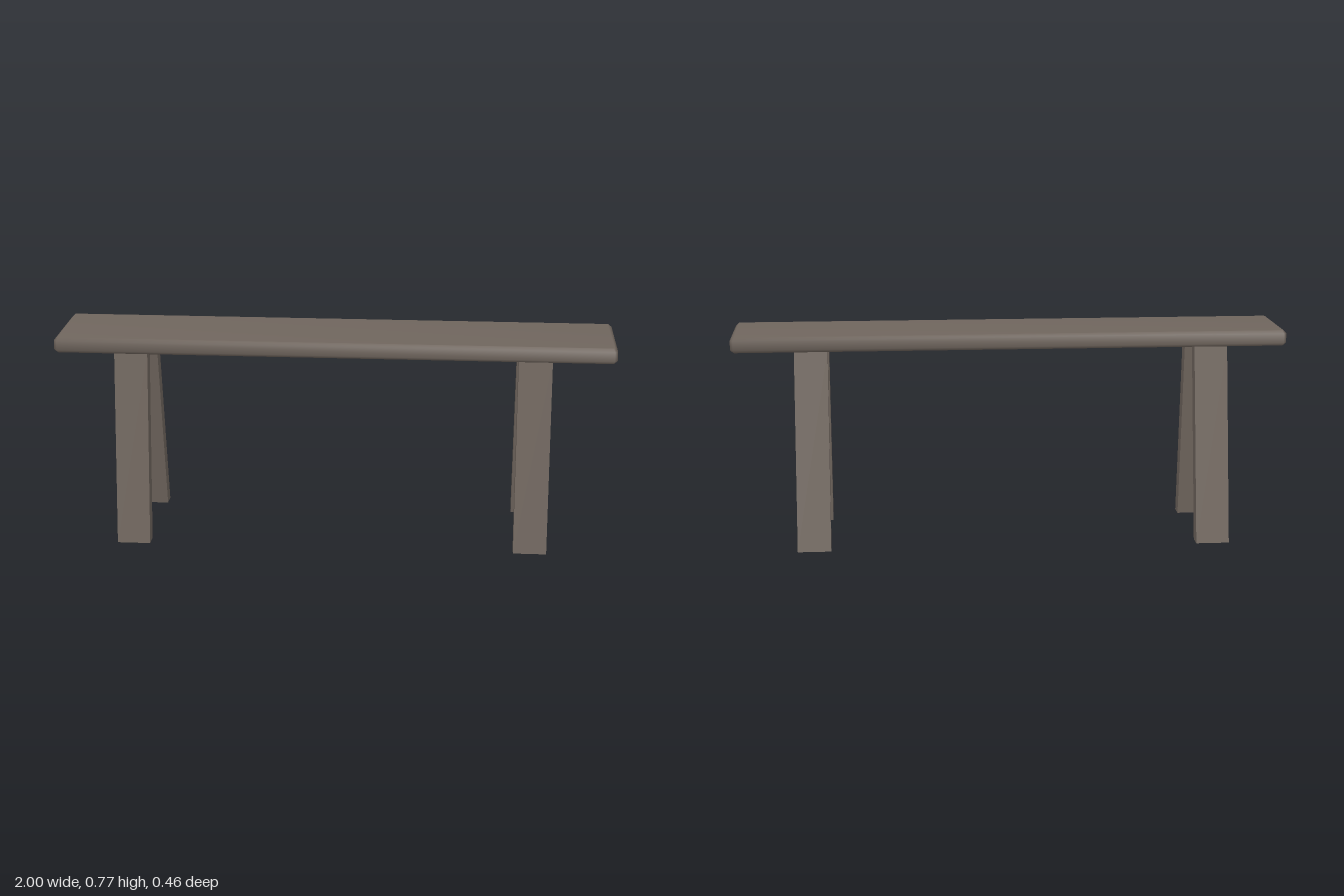
import * as THREE from 'three';
import { mergeVertices } from 'three/addons/utils/BufferGeometryUtils.js';

const SEAT_BOTTOM = 0.712;

// Plank with every edge chamfered and shaded smoothly
function plankGeometry(width, height, depth, c) {
  const w = width / 2, d = depth / 2;
  const outline = new THREE.Shape([
    [-w + c, -d], [w - c, -d], [w, -d + c], [w, d - c],
    [w - c, d], [-w + c, d], [-w, d - c], [-w, -d + c],
  ].map(([x, y]) => new THREE.Vector2(x, y)));
  const extruded = new THREE.ExtrudeGeometry(outline, {
    depth: height - 2 * c, bevelEnabled: true, bevelSegments: 1,
    bevelThickness: c, bevelSize: c, bevelOffset: -c,
  });
  extruded.translate(0, 0, c).rotateX(-Math.PI / 2);
  extruded.deleteAttribute('normal');
  extruded.deleteAttribute('uv');
  const smooth = mergeVertices(extruded, 1e-4);
  smooth.computeVertexNormals();
  return smooth;
}

// Leg sheared along z, so its foot and top stay level
function legGeometry(zFoot, zTop) {
  const g = new THREE.BoxGeometry(0.12, SEAT_BOTTOM, 0.053).toNonIndexed();
  g.translate(0, SEAT_BOTTOM / 2, 0);
  const p = g.attributes.position;
  for (let i = 0; i < p.count; i++) {
    const t = p.getY(i) / SEAT_BOTTOM;
    p.setZ(i, p.getZ(i) + THREE.MathUtils.lerp(zFoot, zTop, t));
  }
  g.computeVertexNormals();
  return g;
}

export function createModel() {
  const bench = new THREE.Group();
  bench.name = 'bench';
  const wood = new THREE.MeshStandardMaterial({ color: 0x6f655d });
  wood.name = 'weathered wood';

  // Seat plank, set slightly forward of the legs
  const seat = new THREE.Mesh(plankGeometry(2, 0.056, 0.34, 0.011), wood);
  seat.name = 'seat';
  seat.position.set(0, SEAT_BOTTOM, 0.027);
  bench.add(seat);

  // Two splayed pairs of legs
  const legs = { front: legGeometry(0.203, 0.123), back: legGeometry(-0.203, -0.069) };
  for (const [side, x] of [['Left', 0.717], ['Right', -0.731]]) {
    for (const [end, geometry] of Object.entries(legs)) {
      const leg = new THREE.Mesh(geometry, wood);
      leg.name = `${end}${side}Leg`;
      leg.position.x = x;
      bench.add(leg);
    }
  }
  return bench;
}
